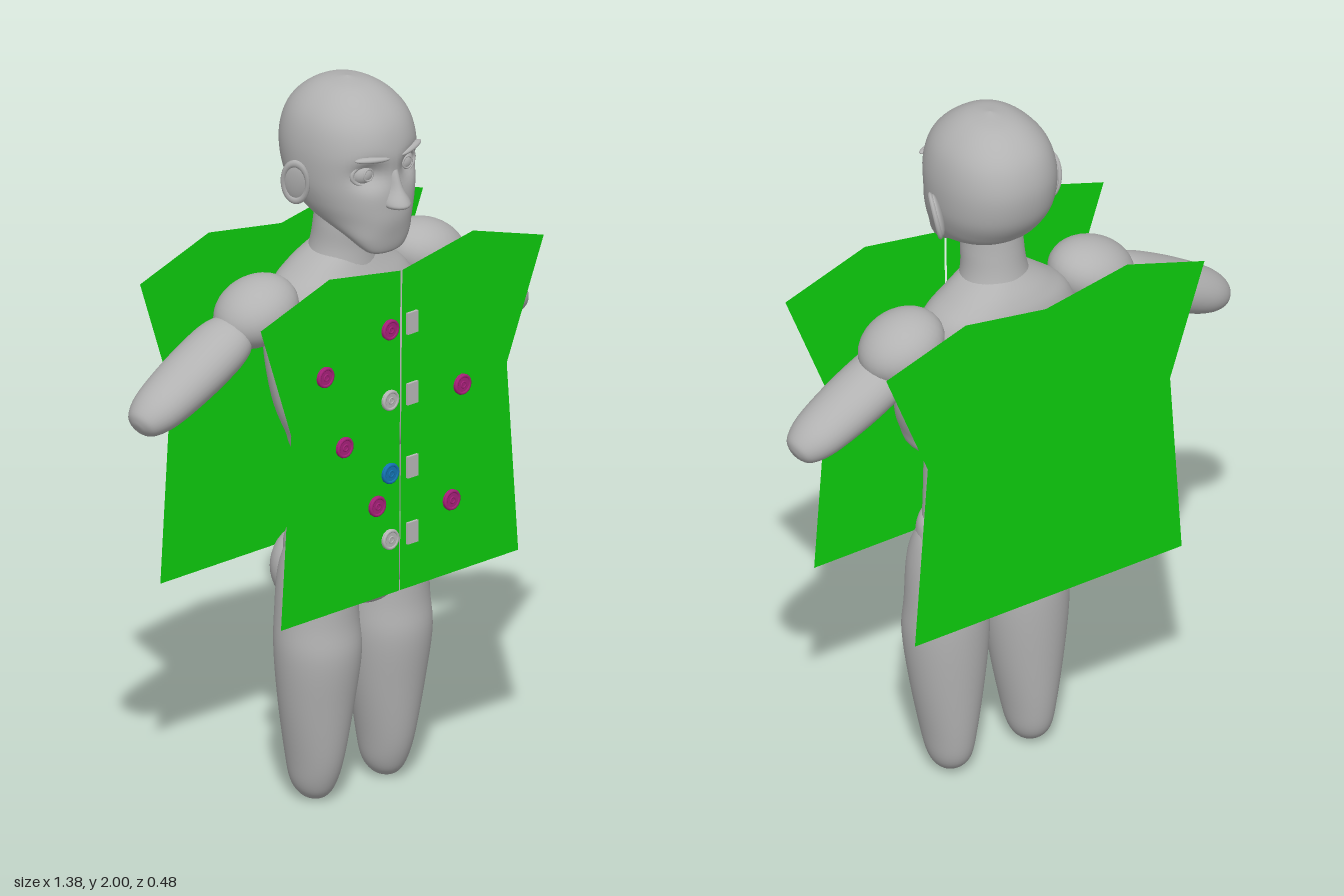
import * as THREE from 'three';

const mat = (name, color, extra = {}) => Object.assign(new THREE.MeshStandardMaterial({ color, ...extra }), { name });

// Smooth body from sections [y, halfWidth, zBack, zFront], listed from top to bottom
function loft(sections, power = 2, rows = 48, cols = 40) {
  const curve = (f) => new THREE.CatmullRomCurve3(sections.map(f), false, 'catmullrom', 0.5);
  const widths = curve(([y, w]) => new THREE.Vector3(y, w, 0));
  const depths = curve(([y, , b, f]) => new THREE.Vector3(y, b, f));
  const pos = [], idx = [];
  const bend = (v) => Math.sign(v) * Math.abs(v) ** (2 / power);
  for (let j = 0; j <= rows; j++) {
    const a = widths.getPoint(j / rows), d = depths.getPoint(j / rows);
    const w = Math.max(a.y, 0), mid = (d.y + d.z) / 2, r = Math.max((d.z - d.y) / 2, 0);
    for (let i = 0; i < cols; i++) {
      const t = (i / cols) * Math.PI * 2;
      pos.push(w * bend(Math.cos(t)), a.x, mid + r * bend(Math.sin(t)));
      if (j === rows) continue;
      const k = j * cols + i, n = j * cols + (i + 1) % cols;
      idx.push(k, n, k + cols, n, n + cols, k + cols);
    }
  }
  const g = new THREE.BufferGeometry();
  g.setAttribute('position', new THREE.Float32BufferAttribute(pos, 3));
  g.setIndex(idx);
  g.computeVertexNormals();
  return g;
}

export function createModel() {
  const model = new THREE.Group();
  const grey = mat('body grey', 0xb2b2b2);
  const green = mat('cloth green', 0x0dcc0d, { side: THREE.DoubleSide });
  const magenta = mat('button magenta', 0xa8207a);
  const blue = mat('button blue', 0x1474b4);
  const pale = mat('button pale grey', 0xb8b8b8);

  const add = (parent, name, geometry, material, x = 0, y = 0, z = 0) => {
    const m = new THREE.Mesh(geometry, material);
    m.name = name;
    m.position.set(x, y, z);
    parent.add(m);
    return m;
  };
  const ball = (parent, name, x, y, z, rx, ry, rz) => {
    const m = add(parent, name, new THREE.SphereGeometry(1, 28, 20), grey, x, y, z);
    m.scale.set(rx, ry, rz);
    return m;
  };

  // Body stands slightly to one side of the garment's reach
  const body = new THREE.Group();
  body.name = 'body';
  body.position.x = 0.035;
  model.add(body);

  // Head with eye sockets pressed in
  const head = loft([
    [2.0, 0, 0.01, 0.01], [1.985, 0.065, -0.07, 0.085], [1.95, 0.115, -0.127, 0.142], [1.9, 0.148, -0.163, 0.182],
    [1.83, 0.163, -0.178, 0.2], [1.75, 0.16, -0.165, 0.198], [1.69, 0.145, -0.13, 0.2], [1.645, 0.125, -0.08, 0.2],
    [1.6, 0.098, 0.05, 0.192], [1.565, 0.07, 0.11, 0.184], [1.55, 0.045, 0.13, 0.175], [1.545, 0, 0.155, 0.155],
  ], 2.2, 72, 72);
  const p = head.attributes.position;
  for (let i = 0; i < p.count; i++) {
    if (p.getZ(i) < 0.05) continue;
    const dx = (Math.abs(p.getX(i)) - 0.07) / 0.042, dy = (p.getY(i) - 1.78) / 0.034;
    p.setZ(i, p.getZ(i) - 0.035 * Math.exp(-dx * dx - dy * dy));
  }
  head.computeVertexNormals();
  add(body, 'head', head, grey);
  add(body, 'nose', loft([
    [1.81, 0, 0.17, 0.17], [1.79, 0.013, 0.15, 0.196], [1.74, 0.019, 0.15, 0.216],
    [1.705, 0.034, 0.15, 0.236], [1.69, 0.035, 0.15, 0.24], [1.682, 0.022, 0.16, 0.225], [1.68, 0, 0.19, 0.19],
  ], 2, 24, 20), grey);

  for (const s of [-1, 1]) {
    // Eyes, lids, brows and ears
    ball(body, 'eye', s * 0.07, 1.78, 0.133, 0.036, 0.034, 0.036);
    add(body, 'iris', new THREE.TorusGeometry(0.016, 0.003, 8, 24), grey, s * 0.07, 1.78, 0.165);
    const lid = add(body, 'eyelid', new THREE.TorusGeometry(0.043, 0.006, 8, 32), grey, s * 0.07, 1.78, 0.158);
    lid.scale.y = 0.68;
    lid.rotation.y = s * 0.3;
    const brow = ball(body, 'brow', s * 0.068, 1.826, 0.179, 0.052, 0.009, 0.014);
    brow.rotation.set(0, s * 0.3, s * 0.08);
    const ear = new THREE.Group();
    ear.name = 'ear';
    ear.position.set(s * 0.175, 1.745, 0);
    ear.rotation.set(0.12, s * -0.5, s * -0.15);
    body.add(ear);
    ball(ear, 'ear shell', 0, 0, 0, 0.014, 0.062, 0.036);
    const rim = add(ear, 'ear rim', new THREE.TorusGeometry(0.034, 0.007, 8, 32), grey, s * 0.006);
    rim.rotation.y = Math.PI / 2;
    rim.scale.y = 1.7;

    // Legs end in rounded stumps
    add(body, 'leg', loft([
      [0.78, 0, 0.03, 0.03], [0.75, 0.07, -0.03, 0.09], [0.66, 0.1, -0.075, 0.135], [0.52, 0.112, -0.085, 0.14],
      [0.42, 0.116, -0.085, 0.148], [0.28, 0.1, -0.078, 0.13], [0.13, 0.073, -0.067, 0.107],
      [0.05, 0.056, -0.052, 0.082], [0.012, 0.032, -0.02, 0.055], [0, 0, 0.02, 0.02],
    ]), grey, s * 0.127);
    ball(body, 'buttock', s * 0.1, 0.635, -0.045, 0.1, 0.11, 0.085);

    // Shoulder and tapered arm stump
    const shoulder = ball(model, 'shoulder', s > 0 ? 0.35 : -0.27, 1.41, s > 0 ? -0.035 : -0.015, 0.122, 0.088, 0.106);
    shoulder.rotation.z = s * -0.35;
    const start = new THREE.Vector3(s * 0.335, 1.37, -0.022), tip = new THREE.Vector3(s * 0.685, 1.185, -0.026);
    const axis = tip.clone().sub(start), len = axis.length();
    const profile = new THREE.SplineCurve([
      [0, 0], [0.05, 0.02], [0.068, 0.13], [0.072, 0.35], [0.069, 0.6], [0.06, 0.82], [0.042, 0.95], [0.02, 0.993], [0, 1],
    ].map(([r, t]) => new THREE.Vector2(r, t * len))).getPoints(40).map((v) => v.setX(Math.max(v.x, 0)));
    const arm = add(model, 'arm', new THREE.LatheGeometry(profile, 32), grey, start.x, start.y, start.z);
    arm.quaternion.setFromUnitVectors(new THREE.Vector3(0, 1, 0), axis.normalize());
    arm.scale.z = 1.22;
  }

  // Trunk
  add(body, 'neck', loft([
    [1.68, 0.08, -0.075, 0.08], [1.6, 0.084, -0.083, 0.085], [1.53, 0.09, -0.095, 0.08], [1.45, 0.115, -0.12, 0.085],
  ]), grey);
  add(body, 'chest', loft([
    [1.54, 0.06, -0.085, 0.06], [1.48, 0.15, -0.13, 0.085], [1.42, 0.215, -0.15, 0.112], [1.3, 0.252, -0.156, 0.165],
    [1.15, 0.257, -0.12, 0.203], [1.05, 0.232, -0.08, 0.203], [0.99, 0.19, -0.055, 0.165], [0.965, 0, 0.04, 0.04],
  ], 2.2), grey);
  add(body, 'abdomen', loft([
    [1.1, 0.17, -0.05, 0.12], [0.95, 0.178, -0.06, 0.133], [0.85, 0.182, -0.062, 0.133], [0.7, 0.19, -0.065, 0.13],
  ], 2.2), grey);
  add(body, 'pelvis', loft([
    [0.8, 0, 0.03, 0.03], [0.785, 0.17, -0.07, 0.13], [0.73, 0.208, -0.11, 0.16], [0.65, 0.185, -0.12, 0.162],
    [0.58, 0.11, -0.1, 0.152], [0.545, 0.055, -0.04, 0.11], [0.535, 0, 0.04, 0.04],
  ]), grey);

  // Flat garment panels: two front halves with a narrow opening and one whole back
  const panel = (name, points, z) =>
    add(model, name, new THREE.ShapeGeometry(new THREE.Shape(points.map(([x, y]) => new THREE.Vector2(x, y)))), green, 0, 0, z);
  const rightEdge = [[-0.23, 1.555], [-0.477, 1.475], [-0.367, 1.15], [-0.404, 0.612]];
  const leftEdge = [[0.448, 0.612], [0.407, 1.15], [0.54, 1.475], [0.286, 1.555]];
  panel('front right panel', [[0.025, 1.512], ...rightEdge, [0.02, 0.612]], 0.224);
  panel('front left panel', [[0.023, 0.612], ...leftEdge, [0.032, 1.512]], 0.224);
  panel('back panel', [[0.03, 1.512], ...rightEdge, ...leftEdge], -0.239);

  // Buttons with raised rims
  const button = (x, y, material) => {
    const g = new THREE.Group();
    g.name = 'button';
    g.position.set(x, y, 0.229);
    model.add(g);
    add(g, 'button disc', new THREE.CylinderGeometry(0.028, 0.028, 0.009, 16), material).rotation.x = Math.PI / 2;
    add(g, 'button rim', new THREE.TorusGeometry(0.024, 0.005, 8, 16), material, 0, 0, 0.002);
    add(g, 'button centre', new THREE.TorusGeometry(0.008, 0.003, 6, 12), material, 0, 0, 0.004);
  };
  [[-0.249, 1.286], [-0.18, 1.07], [0.243, 1.135], [-0.063, 0.873], [0.204, 0.82]].forEach(([x, y]) => button(x, y, magenta));
  [[1.358, magenta], [1.159, pale], [0.953, blue], [0.767, pale]].forEach(([y, m]) => {
    button(-0.016, y, m);
    add(model, 'fastening tab', new THREE.BoxGeometry(0.038, 0.06, 0.008), pale, 0.063, y, 0.229);
  });

  return model;
}
